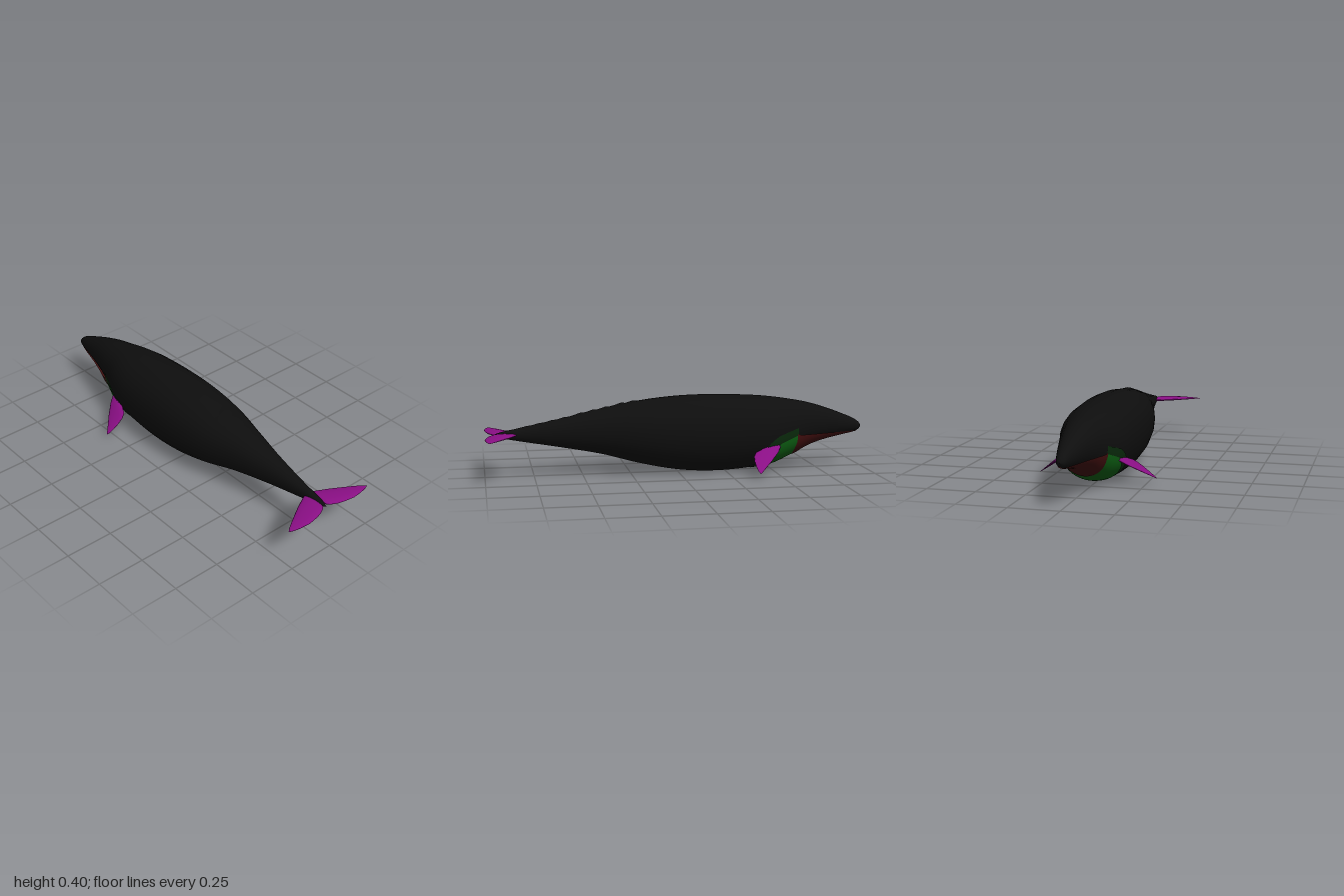
import * as THREE from 'three';

const mat = (name, color, side = THREE.FrontSide) => {
  const m = new THREE.MeshStandardMaterial({ color, side });
  m.name = name;
  return m;
};

// Body stations: z, back height, belly height, half width
const STATIONS = [
  [-1, 0.22, 0.22, 0], [-0.99, 0.236, 0.202, 0.018], [-0.96, 0.258, 0.19, 0.03],
  [-0.9, 0.284, 0.179, 0.046], [-0.8, 0.322, 0.16, 0.07], [-0.7, 0.352, 0.13, 0.096],
  [-0.6, 0.372, 0.078, 0.124], [-0.5, 0.387, 0.036, 0.158], [-0.4, 0.397, 0.016, 0.177],
  [-0.2, 0.406, 0.002, 0.187], [0, 0.402, 0.014, 0.183], [0.2, 0.381, 0.053, 0.159],
  [0.4, 0.343, 0.107, 0.109], [0.6, 0.298, 0.146, 0.064], [0.8, 0.256, 0.181, 0.03],
  [0.9, 0.238, 0.2, 0.017], [0.955, 0.222, 0.214, 0.006], [0.96, 0.218, 0.218, 0],
];

// Smooth interpolation through unevenly spaced stations
function station(z) {
  let i = 0;
  while (i < STATIONS.length - 2 && z > STATIONS[i + 1][0]) i++;
  const p = STATIONS[i], q = STATIONS[i + 1];
  const o = STATIONS[Math.max(i - 1, 0)], r = STATIONS[Math.min(i + 2, STATIONS.length - 1)];
  const h = q[0] - p[0], t = THREE.MathUtils.clamp((z - p[0]) / h, 0, 1);
  return [1, 2, 3].map((k) => {
    const m0 = ((q[k] - o[k]) / (q[0] - o[0])) * h;
    const m1 = ((r[k] - p[k]) / (r[0] - p[0])) * h;
    const t2 = t * t, t3 = t2 * t;
    return (2 * t3 - 3 * t2 + 1) * p[k] + (t3 - 2 * t2 + t) * m0
      + (3 * t2 - 2 * t3) * q[k] + (t3 - t2) * m1;
  });
}

const signedPow = (v, e) => Math.sign(v) * Math.pow(Math.abs(v), e);

// Point on the body skin; angle 0 is the back, PI the belly
function skin(z, angle, lift = 0) {
  const [top, bottom, width] = station(z);
  const s = Math.sin(angle), c = Math.cos(angle);
  return new THREE.Vector3(
    (Math.max(width, 0) + lift) * s,
    (top + bottom) / 2 + ((top - bottom) / 2 + lift) * signedPow(c, 0.92),
    z);
}

// Surface through rows of points
function loft(rows, closed) {
  const n = rows[0].length, index = [];
  for (let i = 0; i < rows.length - 1; i++) {
    for (let j = 0; j < (closed ? n : n - 1); j++) {
      const k = (j + 1) % n;
      const a = i * n + j, b = a + n, c = (i + 1) * n + k, d = i * n + k;
      index.push(a, b, d, b, c, d);
    }
  }
  const g = new THREE.BufferGeometry().setFromPoints(rows.flat());
  g.setIndex(index);
  g.computeVertexNormals();
  return g;
}

const range = (n, f) => Array.from({ length: n + 1 }, (_, i) => f(i / n));

// Painted area under the head, given as z and angle-from-belly limits
function bellyPatch(maxAngle, front, back, lift) {
  return loft(range(30, (u) => range(40, (v) => {
    const s = v * 2 - 1;
    const z = THREE.MathUtils.lerp(front, back(Math.abs(s)), u);
    return skin(z, Math.PI + s * maxAngle(z), lift(u));
  })), false);
}

// Thin fin along +x; sections are span, leading z, trailing z, half thickness
function finGeometry(sections) {
  return loft(sections.map(([x, lead, trail, thick]) => Array.from({ length: 16 }, (_, j) => {
    const a = (j / 16) * Math.PI * 2;
    return new THREE.Vector3(x, thick * Math.cos(a),
      (lead + trail) / 2 - ((trail - lead) / 2) * Math.sin(a));
  })), true);
}

export function createModel() {
  const group = new THREE.Group();
  const black = mat('black skin', 0x0e0e0e);
  const red = mat('dark red jaw', 0x451010, THREE.DoubleSide);
  const green = mat('green throat', 0x0e6414, THREE.DoubleSide);
  const darkGreen = mat('dark green border', 0x0a2a0c, THREE.DoubleSide);
  const purple = mat('purple fins', 0x8a0f85);
  const add = (name, geometry, material) => {
    const m = new THREE.Mesh(geometry, material);
    m.name = name;
    group.add(m);
    return m;
  };

  // Body with a row of small knuckles along the rear of the back
  const rings = range(110, (u) => {
    const z = -1 + 1.96 * Math.pow(u, 1.25);
    return Array.from({ length: 24 }, (_, j) => {
      const p = skin(z, (j / 24) * Math.PI * 2);
      if (j === 0 && z > 0.22 && z < 0.84) {
        p.y += 0.009 * (1 - ((z - 0.22) / 0.07) % 1) * (1 - (z - 0.22));
      }
      return p;
    });
  });
  add('body', loft(rings, true), black);

  // Throat patch: dark border below, brighter centre above it
  const rounded = (front, length, e) => (s) =>
    front + length * Math.pow(Math.max(1 - Math.pow(s, e), 0), 1 / e);
  add('throatBorder', bellyPatch(() => 1.58, -0.625, rounded(-0.62, 0.235, 2.6), () => 0.003), darkGreen);
  add('throat', bellyPatch(() => 1.34, -0.62, rounded(-0.61, 0.18, 2.6), () => 0.006), green);

  // Lower jaw, swelling slightly toward its rear edge
  const jawAngle = (z) => {
    const [top, bottom] = station(z);
    const c = THREE.MathUtils.clamp(((top + bottom) / 2 - 0.197) / ((top - bottom) / 2), -1, 1);
    return Math.acos(signedPow(c, 1 / 0.92));
  };
  add('lowerJaw', bellyPatch(jawAngle, -0.98, (s) => -0.59 - 0.03 * s * s,
    (u) => 0.003 + 0.009 * u * Math.min(1, (1 - u) * 12)), red);

  // Flippers, sloping down and out on both sides
  const flipper = finGeometry([
    [0, -0.53, -0.46, 0.012], [0.03, -0.515, -0.43, 0.011], [0.06, -0.5, -0.378, 0.01],
    [0.086, -0.48, -0.364, 0.008], [0.12, -0.455, -0.36, 0.006], [0.16, -0.42, -0.362, 0.004],
    [0.19, -0.395, -0.367, 0.002], [0.21, -0.378, -0.376, 0.0005],
  ]);
  // Tail flukes, level, one on each side
  const fluke = finGeometry([
    [0.008, 0.86, 0.935, 0.001], [0.014, 0.838, 0.952, 0.008], [0.03, 0.838, 0.965, 0.011],
    [0.06, 0.853, 0.98, 0.011], [0.1, 0.873, 0.99, 0.01], [0.15, 0.902, 0.998, 0.008],
    [0.2, 0.932, 0.994, 0.005], [0.24, 0.957, 0.986, 0.002], [0.26, 0.973, 0.978, 0.0005],
  ]);
  for (const side of [1, -1]) {
    const label = side > 0 ? 'left' : 'right';
    const f = add(label + 'Flipper', flipper, purple);
    f.position.set(side * 0.13, 0.154, 0);
    f.rotation.z = side > 0 ? -0.63 : Math.PI + 0.63;
    const t = add(label + 'Fluke', fluke, purple);
    t.position.y = 0.22;
    t.rotation.z = side > 0 ? 0 : Math.PI;
  }
  return group;
}
